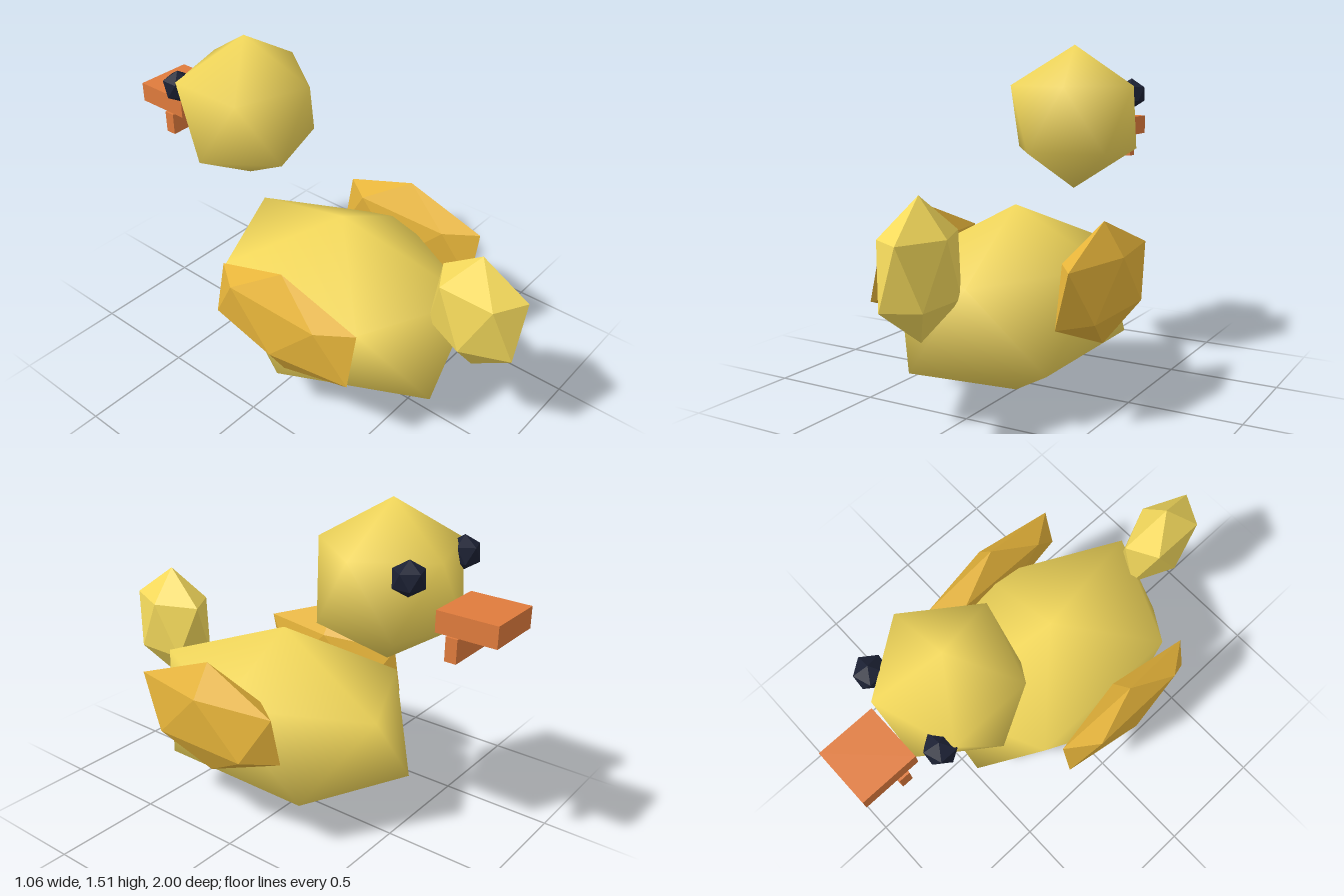
import * as THREE from 'three';

const COLORS = { body: 0xf5da5c, wing: 0xe6b43a, beak: 0xdf7b3c, eye: 0x1b2033 };

// Icosahedron standing on one corner: two staggered rings of five between two tips
function icoGeometry(rx, ry, rz) {
  const h = 1 / Math.sqrt(5), r = 2 * h;
  const pos = [0, ry, 0];
  for (const [y, offset] of [[h, 0], [-h, 0.5]]) {
    for (let k = 0; k < 5; k++) {
      const a = (k + offset) * Math.PI * 2 / 5;
      pos.push(rx * r * Math.cos(a), ry * y, rz * r * Math.sin(a));
    }
  }
  pos.push(0, -ry, 0);
  const index = [];
  for (let k = 0; k < 5; k++) {
    const n = (k + 1) % 5;
    const u = 1 + k, un = 1 + n, l = 6 + k, ln = 6 + n;
    index.push(0, un, u, u, un, l, l, un, ln, 11, l, ln);
  }
  const g = new THREE.BufferGeometry();
  g.setAttribute('position', new THREE.Float32BufferAttribute(pos, 3));
  g.setIndex(index);
  g.computeVertexNormals();
  return g;
}

export function createModel() {
  const duck = new THREE.Group();
  duck.name = 'duck';

  const add = (name, geometry, color, x, y, z, flatShading = true) => {
    const material = new THREE.MeshStandardMaterial({ color, flatShading });
    const mesh = new THREE.Mesh(geometry, material);
    mesh.name = name;
    mesh.position.set(x, y, z);
    duck.add(mesh);
  };

  // Smooth-shaded body and floating head, faceted tail
  add('body', icoGeometry(0.492, 0.417, 0.705), COLORS.body, 0, 0.417, 0.1, false);
  add('head', icoGeometry(0.338, 0.338, 0.338), COLORS.body, 0, 1.177, -0.45, false);
  add('tail', icoGeometry(0.14, 0.28, 0.235), COLORS.body, 0, 0.682, 0.8);

  // Wings and eyes on both sides
  for (const [side, s] of [['left', 1], ['right', -1]]) {
    add(side + 'Wing', icoGeometry(0.1, 0.256, 0.432), COLORS.wing, s * 0.443, 0.55, 0.147);
    add(side + 'Eye', icoGeometry(0.073, 0.073, 0.073), COLORS.eye, s * 0.2, 1.284, -0.66);
  }

  // Beak: upper slab with a narrow plate hanging below
  add('upperBeak', new THREE.BoxGeometry(0.26, 0.09, 0.26), COLORS.beak, 0, 1.115, -0.87);
  add('lowerBeak', new THREE.BoxGeometry(0.28, 0.1, 0.05), COLORS.beak, 0, 1.02, -0.818);

  return duck;
}
